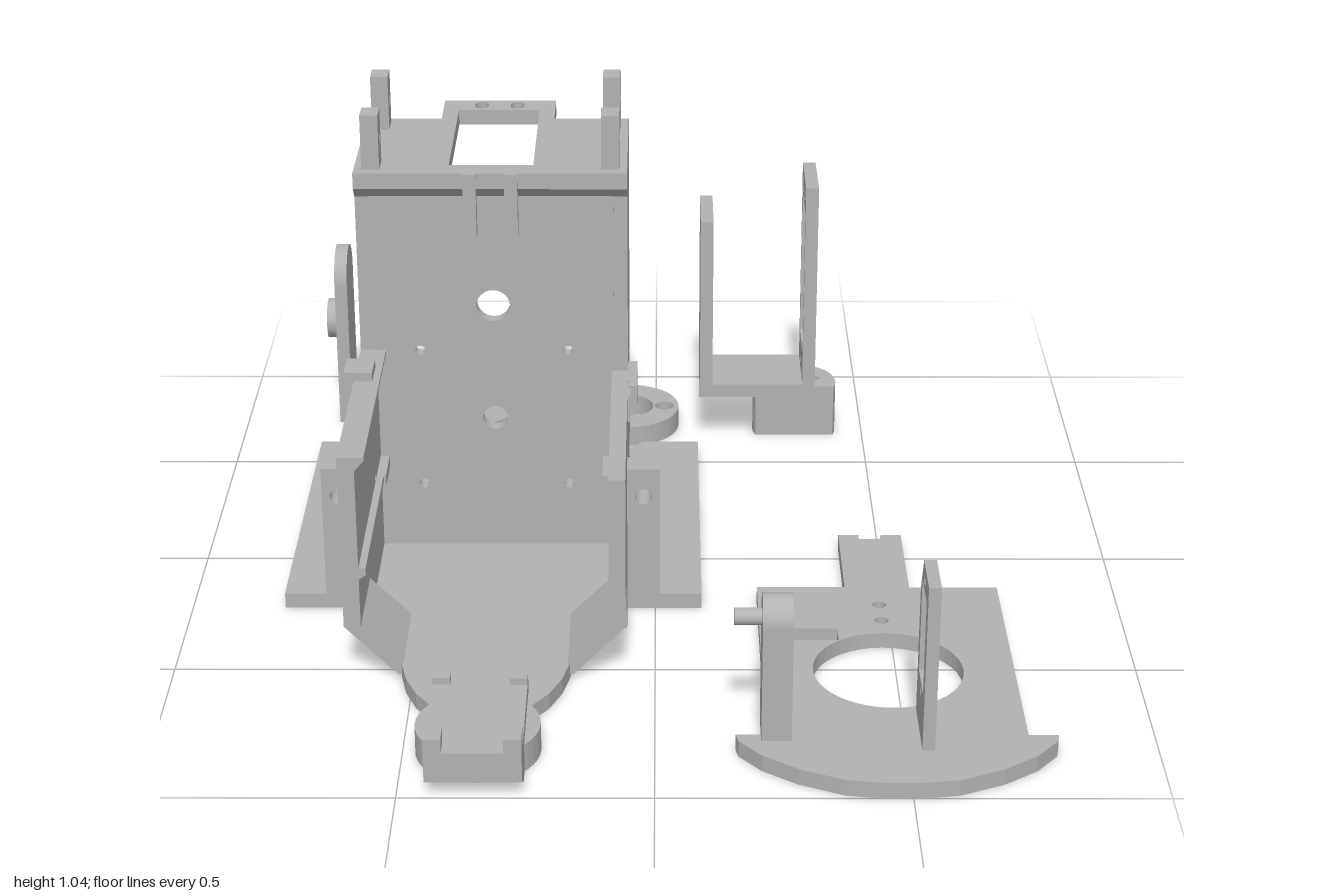
import * as THREE from 'three';

const grey = new THREE.MeshStandardMaterial({ color: 0xb2b2b2 });
grey.name = 'plain grey';

// Holes: [cx, cy, r] is round, [cx, cy, w, h] is square, [cx, cy, w, h, 1] is a rounded slot
function holePath([x, y, w, h, rounded]) {
  const p = new THREE.Path();
  if (h === undefined) return p.absarc(x, y, w, 0, Math.PI * 2, false);
  if (rounded) {
    const r = Math.min(w, h) / 2, dx = w / 2 - r, dy = h / 2 - r;
    const a = w > h ? -Math.PI / 2 : 0;
    p.absarc(x + dx, y + dy, r, a, a + Math.PI, false);
    p.absarc(x - dx, y - dy, r, a + Math.PI, a + Math.PI * 2, false);
    p.closePath();
    return p;
  }
  p.setFromPoints([[-1, -1], [1, -1], [1, 1], [-1, 1], [-1, -1]].map(
    ([a, b]) => new THREE.Vector2(x + a * w / 2, y + b * h / 2)));
  return p;
}

const poly = (pts) => new THREE.Shape(pts.map(([a, b]) => new THREE.Vector2(a, b)));
const rect = (a0, a1, b0, b1) => poly([[a0, b0], [a1, b0], [a1, b1], [a0, b1]]);
const disc = (x, y, r) => new THREE.Shape().absarc(x, y, r, 0, Math.PI * 2, false);

// Upright outline with a half-round top
function arch(c, r, bottom, top) {
  const s = new THREE.Shape();
  s.moveTo(c - r, bottom);
  s.lineTo(c + r, bottom);
  s.absarc(c, top - r, r, 0, Math.PI, false);
  s.closePath();
  return s;
}

export function createModel() {
  const model = new THREE.Group();
  model.name = 'robotPartsKit';

  const add = (name, geometry, parent = model) => {
    const m = new THREE.Mesh(geometry, grey);
    m.name = name;
    parent.add(m);
    return m;
  };
  const group = (name) => {
    const g = new THREE.Group();
    g.name = name;
    model.add(g);
    return g;
  };
  const extrude = (shape, depth, holes) => {
    shape.holes = holes.map(holePath);
    return new THREE.ExtrudeGeometry(shape, { depth, bevelEnabled: false, curveSegments: 20 });
  };
  // Outline in (x, z), thickness from y0 to y1
  const flat = (name, shape, y0, y1, holes, parent) =>
    add(name, extrude(shape, y1 - y0, holes).rotateX(Math.PI / 2).translate(0, y1, 0), parent);
  // Outline in (z, y), thickness from x0 to x1
  const side = (name, shape, x0, x1, holes, parent) =>
    add(name, extrude(shape, x1 - x0, holes).rotateY(-Math.PI / 2).translate(x1, 0, 0), parent);
  // Outline in (x, y), thickness from z0 to z1
  const face = (name, shape, z0, z1, holes, parent) =>
    add(name, extrude(shape, z1 - z0, holes).translate(0, 0, z0), parent);
  const box = (name, x0, x1, y0, y1, z0, z1, parent) =>
    add(name, new THREE.BoxGeometry(x1 - x0, y1 - y0, z1 - z0)
      .translate((x0 + x1) / 2, (y0 + y1) / 2, (z0 + z1) / 2), parent);
  const peg = (name, x0, x1, y, z, r, parent) =>
    add(name, new THREE.CylinderGeometry(r, r, x1 - x0, 28)
      .rotateZ(Math.PI / 2).translate((x0 + x1) / 2, y, z), parent);

  // ---- Main body, symmetric about x = C ----
  const C = -0.35;
  const body = group('mainBody');
  const half = [[0.07, -0.485], [0.15, -0.465], [0.22, -0.43], [0.32, -0.54], [0.45, -0.54],
    [0.45, 0.23], [0.29, 0.23], [0.29, 0.32], [0.18, 0.32], [0.175, 0.53], [0.16, 0.6],
    [0.135, 0.66], [0.1, 0.71], [0.07, 0.73]];
  const outline = [[C, -0.49], ...half.map(([u, z]) => [C + u, z]),
    ...half.map(([u, z]) => [C - u, z]).reverse()];
  flat('basePlate', poly(outline), 0, 0.035,
    [[C, -0.345, 0.11, 0.08], [C, -0.23, 0.04, 0.02], [C, -0.08, 0.04, 0.02]], body);
  // Low servo seat on the floor
  for (const z of [-0.275, -0.04]) box('servoSeatRib', C - 0.09, C + 0.09, 0.035, 0.07, z - 0.012, z + 0.012, body);

  const wallHoles = [[-0.17, 0.2, 0.037], [-0.3, 0.265, 0.027], [-0.11, 0.395, 0.06, 0.026, 1],
    [-0.235, 0.395, 0.06, 0.026, 1], [-0.175, 0.085, 0.026, 0.05, 1],
    [0.125, 0.25, 0.02, 0.035], [-0.085, 0.25, 0.02, 0.035]];
  for (const s of [-1, 1]) {
    const span = (a, b) => [C + s * a, C + s * b].sort((p, q) => p - q);
    const top = s > 0 ? 0.455 : 0.485;
    side('sideWall', poly([[-0.34, 0.03], [-0.34, 0.9], [-0.01, 0.9], [-0.01, top], [0.535, top],
      [0.535, 0.12], [0.32, 0.12], [0.32, 0.03]]), ...span(0.255, 0.29), wallHoles, body);
    face('slopedLowerPanel', poly([[C + s * 0.29, 0.12], [C + s * 0.255, 0.12],
      [C + s * 0.15, 0.015], [C + s * 0.18, 0.008]]), 0.32, 0.535, [], body);
    box('innerRib', ...span(0.235, 0.26), 0.23, 0.255, 0, 0.1, body);
    face('wingPost', rect(...span(0.29, 0.36), 0.03, 0.335), 0.175, 0.235, [[C + s * 0.325, 0.27, 0.018]], body);
    // Corner brackets on the outside of the wall
    const [x0, x1] = span(0.285, 0.296);
    for (const [z, dz] of [[0.105, -1], [-0.07, 1]]) for (const [y, dy] of [[0.045, 1], [0.445, -1]]) {
      side('cornerBracket', poly([[z, y], [z + dz * 0.045, y], [z + dz * 0.045, y + dy * 0.01],
        [z + dz * 0.01, y + dy * 0.01], [z + dz * 0.01, y + dy * 0.06], [z, y + dy * 0.06]]), x0, x1, [], body);
    }
    // Top posts
    for (const z of [-0.038, -0.295]) {
      side('topPost', rect(z - 0.027, z + 0.027, 0.9, 1.04), ...span(0.235, 0.273), [[z, 0.985, 0.009]], body);
    }
    face('frontTab', rect(...span(0.03, 0.058), 0.78, 0.92), -0.005, 0.022, [], body);
    side('rearGusset', poly([[-0.33, 0.76], [-0.33, 0.9], [-0.46, 0.9]]), ...span(0.11, 0.125), [], body);
  }
  // Rail with an angled underside on the taller wall, and the outer lugs
  face('wallRail', poly([[-0.64, 0.475], [-0.605, 0.475], [-0.585, 0.497], [-0.585, 0.505], [-0.64, 0.505]]),
    -0.01, 0.535, [], body);
  face('wallRib', poly([[-0.61, 0.225], [-0.59, 0.24], [-0.59, 0.255], [-0.61, 0.255]]), 0, 0.535, [], body);
  box('outerLug', -0.66, -0.6, 0.45, 0.525, 0.085, 0.16, body);
  box('outerLug', -0.065, -0.04, 0.38, 0.45, -0.075, 0.06, body);

  // Tower front and lid
  const frontHoles = [[C, 0.61, 0.036], [C, 0.345, 0.027]];
  for (const x of [-0.16, 0.16]) for (const y of [0.185, 0.505]) frontHoles.push([C + x, y, 0.011]);
  face('towerFront', rect(-0.61, -0.09, 0.03, 0.9), -0.035, -0.006, frontHoles, body);
  side('towerLip', poly([[-0.02, 0.86], [-0.008, 0.86], [0.014, 0.885], [0.014, 0.92], [-0.02, 0.92]]),
    -0.64, -0.06, [], body);
  flat('towerLid', poly([[-0.64, -0.01], [-0.06, -0.01], [-0.06, -0.34], [-0.225, -0.34], [-0.225, -0.465],
    [-0.475, -0.465], [-0.475, -0.34], [-0.64, -0.34]]), 0.885, 0.92,
  [[C, -0.22, 0.18, 0.36], [C - 0.04, -0.432, 0.03, 0.045, 1], [C + 0.04, -0.432, 0.03, 0.045, 1]], body);

  // ---- Nose holder ----
  const nose = group('noseHolder');
  flat('noseRing', disc(C, 0.82, 0.125), 0, 0.06, [[C, 0.82, 0.08]], nose);
  flat('noseDeck', rect(-0.445, -0.255, 0.69, 1), 0.058, 0.09, [], nose);
  face('noseFront', poly([[-0.445, 0.035], [-0.255, 0.035], [-0.255, 0.1], [-0.445, 0.1]]), 0.95, 1, [], nose);
  for (const s of [-1, 1]) {
    const a = C + s * 0.0775;
    box('noseClip', a - 0.0175, a + 0.0175, 0.085, 0.13, 0.955, 1, nose);
    box('noseClip', a - 0.0175, a + 0.0175, 0.085, 0.105, 0.69, 0.72, nose);
    side('noseCheek', poly([[1, 0.04], [0.94, 0], [0.9, 0], [0.9, 0.07], [1, 0.07]]), a - 0.0175, a + 0.0175, [], nose);
  }

  // ---- Round pan bracket ----
  const pan = group('panBracket');
  const px = -0.51, pz = -0.8;
  const hornSlots = (x, y, d, l, w) => [[x + d, y, l, w, 1], [x - d, y, l, w, 1], [x, y + d, w, l, 1], [x, y - d, w, l, 1]];
  flat('panDisc', disc(px, pz, 0.2), 0, 0.04,
    [[px, pz, 0.03], ...hornSlots(px, pz, 0.062, 0.05, 0.024), [-0.515, -0.945, 0.155, 0.05]], pan);
  box('panFoot', -0.775, -0.69, 0, 0.04, -0.875, -0.725, pan);
  box('panFoot', -0.33, -0.25, 0, 0.04, -0.875, -0.725, pan);
  side('panArm', arch(pz, 0.075, 0, 0.435), -0.775, -0.745, [], pan);
  side('hornArm', arch(pz, 0.075, 0, 0.435), -0.28, -0.25,
    [[pz, 0.25, 0.024], ...hornSlots(pz, 0.25, 0.05, 0.04, 0.016)], pan);
  peg('panPivot', -0.8, -0.77, 0.247, pz, 0.048, pan);

  // ---- Loose ring ----
  flat('spacerRing', disc(-0.07, -0.715, 0.125), 0, 0.05,
    [[-0.07, -0.715, 0.063], [-0.16, -0.715, 0.023], [0.02, -0.715, 0.023]]);

  // ---- Tall servo bracket ----
  const tall = group('tallBracket');
  box('bracketFloor', 0.105, 0.38, 0.127, 0.16, -0.775, -0.595, tall);
  side('plainUpright', rect(-0.775, -0.595, 0.13, 0.575), 0.105, 0.135, [[-0.685, 0.505, 0.012]], tall);
  side('windowUpright', rect(-0.775, -0.595, 0.13, 0.66), 0.35, 0.38, [[-0.685, 0.415, 0.15, 0.36],
    ...[-0.645, -0.72].flatMap((z) => [0.163, 0.628].map((y) => [z, y, 0.026, 0.045, 1]))], tall);
  const foot = new THREE.Shape().absarc(0.335, -0.69, 0.1, Math.PI - 0.36, Math.PI * 2 + 0.36, false);
  flat('bracketFoot', foot, 0, 0.128, [[0.335, -0.705, 0.02], [0.285, -0.705, 0.012], [0.385, -0.705, 0.012]], tall);

  // ---- Front deck plate ----
  const deck = group('deckPlate');
  const rim = [[0.16, 0.2], [0.26, 0.2], [0.26, 0.82], [0.32, 0.82], [0.315, 0.845], [0.27, 0.9], [0.2, 0.95], [0.11, 0.99], [0.04, 1]];
  const edge = [[0.025, -0.05], [0.07, -0.05], [0.07, 0.2], ...rim];
  const deckX = 0.48;
  flat('deck', poly([[deckX - 0.025, -0.03], [deckX + 0.025, -0.03], ...edge.map(([u, z]) => [deckX + u, z]),
    ...edge.map(([u, z]) => [deckX - u, z]).reverse()]), 0, 0.035,
  [[deckX, 0.56, 0.155], [deckX, 0.28, 0.015], [deckX, 0.35, 0.015], [0.31, 0.41, 0.15, 0.05]], deck);
  side('pivotPost', arch(0.797, 0.048, 0.03, 0.335), 0.21, 0.27, [], deck);
  peg('pivotPeg', 0.155, 0.215, 0.288, 0.797, 0.017, deck);
  side('windowPost', poly([[0.88, 0.03], [0.88, 0.395], [0.765, 0.395], [0.72, 0.31], [0.72, 0.03]]), 0.525, 0.55,
    [[0.797, 0.243, 0.1, 0.205], [0.797, 0.365, 0.009], [0.797, 0.122, 0.009]], deck);

  return model;
}
